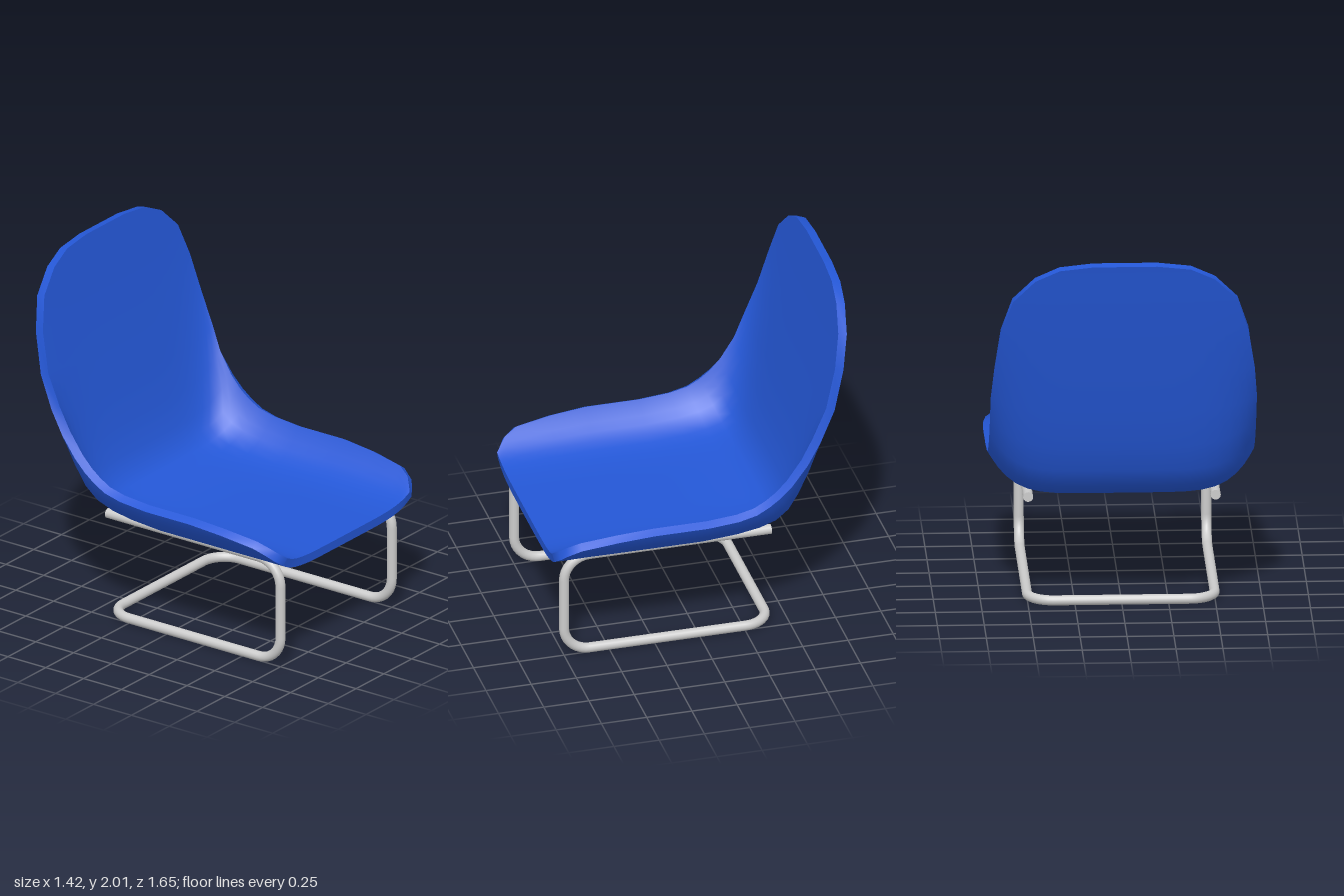
import * as THREE from 'three';
import { toCreasedNormals } from 'three/addons/utils/BufferGeometryUtils.js';

// Stations from the front lip to the top of the back:
// z, y of the underside spine, half width, z and y lift of the side rim
const STATIONS = [
  [0.82, 0.57, 0.58, 0, 0.215], [0.80, 0.57, 0.615, 0, 0.215], [0.77, 0.57, 0.65, 0, 0.215],
  [0.70, 0.57, 0.68, 0, 0.215], [0.50, 0.57, 0.70, 0, 0.215], [0.30, 0.57, 0.71, 0, 0.215],
  [0, 0.57, 0.71, 0.01, 0.215], [-0.20, 0.585, 0.71, 0.04, 0.215], [-0.33, 0.605, 0.71, 0.07, 0.22],
  [-0.43, 0.635, 0.71, 0.10, 0.23], [-0.50, 0.695, 0.71, 0.11, 0.215], [-0.55, 0.79, 0.71, 0.095, 0.185],
  [-0.60, 0.94, 0.71, 0.06, 0.15], [-0.65, 1.15, 0.71, 0.04, 0.07], [-0.70, 1.38, 0.695, 0.01, 0.02],
  [-0.75, 1.62, 0.66, 0, 0], [-0.785, 1.80, 0.60, 0, 0], [-0.807, 1.92, 0.48, 0, 0],
  [-0.818, 1.98, 0.35, 0, 0], [-0.822, 2.0, 0.17, 0, 0],
];
const COLS = 24;
const THICKNESS = 0.048;

// Thin bucket shell: underside grid, offset along its normals, joined by a rim
function shellGeometry() {
  const rows = STATIONS.length - 1;
  const outer = STATIONS.map(([z, y, w, dz, dy]) => {
    const row = [];
    for (let j = 0; j <= COLS; j++) {
      const x = w * Math.sin((j / COLS - 0.5) * Math.PI);
      const k = Math.pow(Math.abs(x) / 0.71, 6);
      row.push(new THREE.Vector3(x, y + dy * k, z + dz * k));
    }
    return row;
  });
  const inner = outer.map((row, i) => row.map((p, j) => {
    const across = row[Math.min(j + 1, COLS)].clone().sub(row[Math.max(j - 1, 0)]);
    const along = outer[Math.min(i + 1, rows)][j].clone().sub(outer[Math.max(i - 1, 0)][j]);
    return across.cross(along).normalize().multiplyScalar(THICKNESS).add(p);
  }));

  const pos = [];
  const quad = (a, b, c, d) => [a, b, c, a, c, d].forEach((v) => pos.push(v.x, v.y, v.z));
  for (let i = 0; i < rows; i++) {
    for (let j = 0; j < COLS; j++) {
      quad(inner[i][j], inner[i][j + 1], inner[i + 1][j + 1], inner[i + 1][j]);
      quad(outer[i][j], outer[i + 1][j], outer[i + 1][j + 1], outer[i][j + 1]);
    }
  }
  // Rim around the whole edge
  const loop = [];
  for (let j = 0; j < COLS; j++) loop.push([0, j]);
  for (let i = 0; i < rows; i++) loop.push([i, COLS]);
  for (let j = COLS; j > 0; j--) loop.push([rows, j]);
  for (let i = rows; i > 0; i--) loop.push([i, 0]);
  loop.forEach(([i, j], n) => {
    const [k, l] = loop[(n + 1) % loop.length];
    quad(outer[i][j], outer[k][l], inner[k][l], inner[i][j]);
  });

  const geo = new THREE.BufferGeometry();
  geo.setAttribute('position', new THREE.Float32BufferAttribute(pos, 3));
  return toCreasedNormals(geo, 0.8);
}

// Polyline with rounded corners
function roundedPath(points, radius) {
  const path = new THREE.CurvePath();
  let last = points[0];
  for (let i = 1; i < points.length - 1; i++) {
    const p = points[i];
    const toPrev = points[i - 1].clone().sub(p).normalize();
    const toNext = points[i + 1].clone().sub(p).normalize();
    const at = (dir, d) => p.clone().addScaledVector(dir, d);
    const start = at(toPrev, radius), end = at(toNext, radius);
    path.add(new THREE.LineCurve3(last, start));
    path.add(new THREE.CubicBezierCurve3(start, at(toPrev, radius * 0.45), at(toNext, radius * 0.45), end));
    last = end;
  }
  path.add(new THREE.LineCurve3(last, points[points.length - 1]));
  return path;
}

export function createModel() {
  const model = new THREE.Group();
  const blue = new THREE.MeshStandardMaterial({ color: 0x2457d6 });
  const grey = new THREE.MeshStandardMaterial({ color: 0xcccccc });
  const add = (name, geometry, material, parent) => {
    const mesh = new THREE.Mesh(geometry, material);
    mesh.name = name;
    parent.add(mesh);
    return mesh;
  };

  add('seatShell', shellGeometry(), blue, model);

  // Cantilever frame: one bent tube with capped rear ends
  const frame = new THREE.Group();
  frame.name = 'frame';
  model.add(frame);
  const X = 0.5, TOP = 0.605, BOTTOM = 0.03, FRONT = 0.75, BACK = -0.392, R = 0.027;
  const side = [[TOP, BACK], [TOP, FRONT], [BOTTOM, FRONT], [BOTTOM, BACK]];
  const points = [
    ...side.map(([y, z]) => new THREE.Vector3(-X, y, z)),
    ...side.reverse().map(([y, z]) => new THREE.Vector3(X, y, z)),
  ];
  add('frameTube', new THREE.TubeGeometry(roundedPath(points, 0.14), 260, R, 16), grey, frame);
  for (const x of [-X, X]) {
    const cap = add('tubeEnd', new THREE.CircleGeometry(R, 16), grey, frame);
    cap.position.set(x, TOP, BACK);
    cap.rotation.y = Math.PI;
  }
  return model;
}
